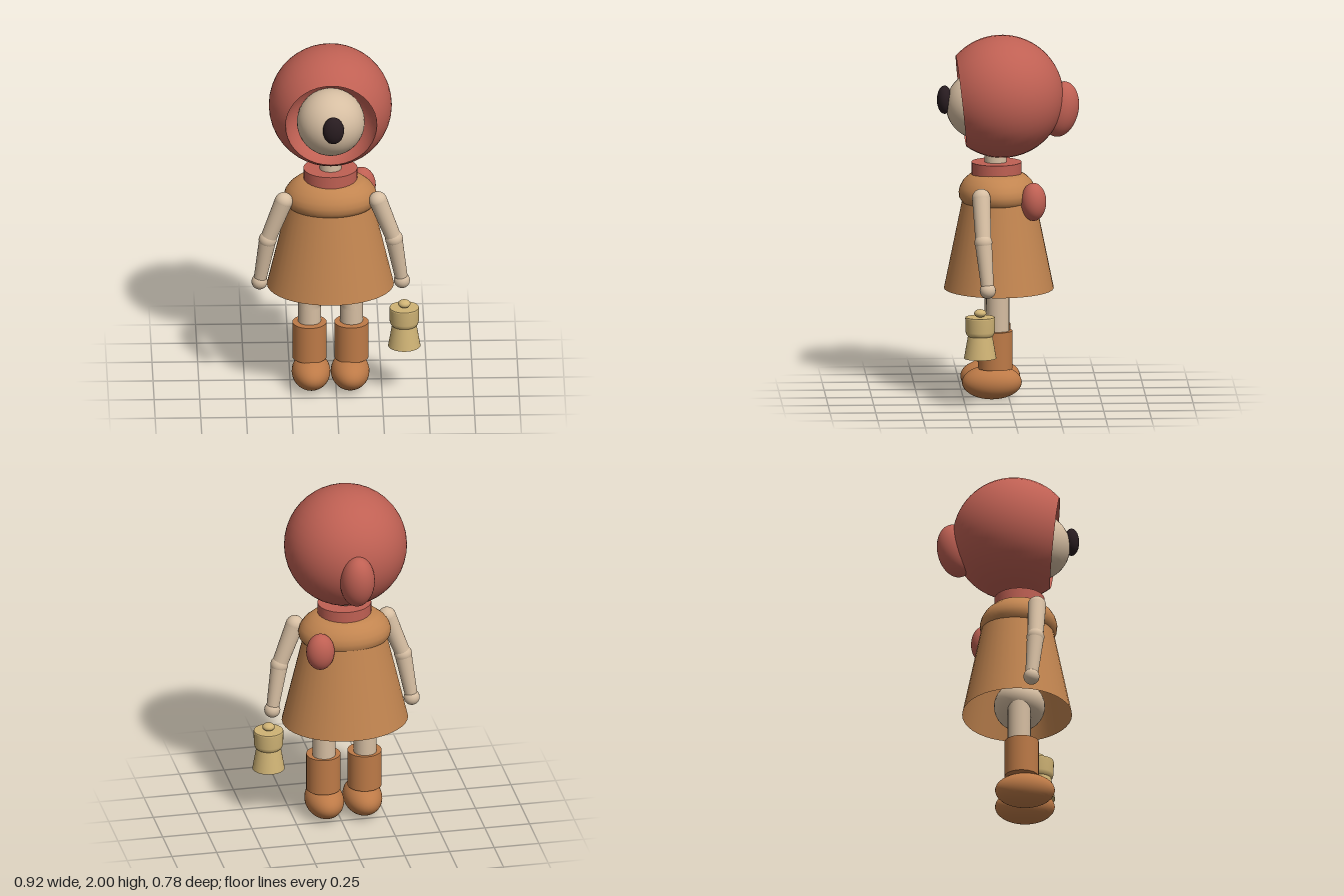
import * as THREE from 'three';

const mat = (name, color, side = THREE.FrontSide) => {
  const m = new THREE.MeshStandardMaterial({ color, side });
  m.name = name;
  return m;
};

export function createModel() {
  const red = mat('hood red', 0xbf6053);
  const tan = mat('dress tan', 0xc28550, THREE.DoubleSide);
  const leather = mat('boot brown', 0xbd7a47);
  const skin = mat('pale skin', 0xd6bea2);
  const dark = mat('pupil black', 0x281c20);
  const brass = mat('lantern brass', 0xcfb375);
  const CX = -0.03; // body centre line

  const model = new THREE.Group();
  model.name = 'hoodedFigure';
  const add = (name, geo, material, x, y, z, parent = model) => {
    const m = new THREE.Mesh(geo, material);
    m.name = name;
    m.position.set(x, y, z);
    parent.add(m);
    return m;
  };
  const ball = (name, material, x, y, z, rx, ry = rx, rz = rx) => {
    const m = add(name, new THREE.SphereGeometry(1, 32, 24), material, x, y, z);
    m.scale.set(rx, ry, rz);
    return m;
  };
  const lathe = (pts, seg = 40) =>
    new THREE.LatheGeometry(pts.map(([r, y]) => new THREE.Vector2(r, y)), seg);
  // Tapered limb segment between two points
  const limb = (name, a, b, ra, rb, material) => {
    const dir = b.clone().sub(a);
    const mid = a.clone().add(b).multiplyScalar(0.5);
    const m = add(name, new THREE.CylinderGeometry(rb, ra, dir.length(), 24), material, mid.x, mid.y, mid.z);
    m.quaternion.setFromUnitVectors(new THREE.Vector3(0, 1, 0), dir.normalize());
  };

  // Hood: a sphere with a slightly downturned round opening and a hollow inside
  const R = 0.337, rim = 0.25, rimY = Math.sqrt(R * R - rim * rim);
  const open = Math.atan2(rim, rimY);
  const shell = [], hollow = [];
  for (let i = 0; i <= 24; i++) {
    const a = Math.PI - (i / 24) * (Math.PI - open);
    shell.push([R * Math.sin(a), R * Math.cos(a)]);
  }
  for (let i = 0; i <= 12; i++) {
    const a = (i / 12) * Math.PI / 2;
    hollow.push([rim * Math.cos(a), rimY - 0.22 * Math.sin(a)]);
  }
  const hood = new THREE.Group();
  hood.name = 'hood';
  hood.position.set(CX, 1.663, 0.035);
  hood.rotation.x = 1.68;
  model.add(hood);
  add('hoodShell', lathe(shell), red, 0, 0, 0, hood);
  add('hoodHollow', lathe(hollow), red, 0, 0, 0, hood);
  ball('hoodTail', red, CX, 1.59, -0.285, 0.095, 0.155, 0.1).rotation.x = -0.2;

  // Face and single pupil
  ball('face', skin, CX, 1.615, 0.157, 0.186);
  ball('pupil', dark, -0.02, 1.648, 0.35, 0.058, 0.078, 0.042);

  // Neck and collar
  add('neck', new THREE.CylinderGeometry(0.06, 0.06, 0.22, 24), skin, CX, 1.27, 0.07);
  add('collar', new THREE.CylinderGeometry(0.148, 0.148, 0.1, 32), red, CX, 1.25, 0.065).scale.z = 0.93;

  // Flared dress, open at the hem
  add('dress', lathe([[0.348, 0.6], [0.225, 1.12]]), tan, CX, 0, 0.052).scale.z = 0.865;

  // Rounded shoulder cape
  add('cape', lathe([[0.2, 1.075], [0.235, 1.082], [0.252, 1.105], [0.256, 1.135], [0.247, 1.165],
    [0.225, 1.197], [0.19, 1.225], [0.148, 1.242], [0, 1.25]]), tan, CX, 0, 0.06).scale.z = 0.83;

  // Knot at the back of the cape
  ball('capeKnot', red, 0.145, 1.105, -0.13, 0.078, 0.105, 0.07);

  // Hips bridging the two legs
  ball('hips', skin, CX, 0.65, 0.065, 0.19, 0.12, 0.14);
  add('crotchArch', new THREE.TorusGeometry(0.115, 0.062, 16, 24, Math.PI), skin, CX, 0.465, 0.065);

  for (const s of [-1, 1]) {
    const side = s > 0 ? 'left' : 'right';

    // Leg, boot shaft and rounded shoe
    add(side + 'Leg', new THREE.CylinderGeometry(0.063, 0.063, 0.35, 24), skin, CX + s * 0.115, 0.505, 0.063);
    add(side + 'BootShaft', new THREE.CylinderGeometry(0.094, 0.094, 0.21, 32), leather, CX + s * 0.115, 0.277, 0.077);
    ball(side + 'Shoe', leather, CX + s * 0.107, 0.094, 0.095, 0.106, 0.094, 0.164);

    // Arm with round joints
    const shoulder = new THREE.Vector3(CX + s * 0.258, 1.143, 0.16);
    const elbow = new THREE.Vector3(CX + s * 0.346, 0.91, 0.152);
    const hand = new THREE.Vector3(CX + s * 0.39, 0.65, 0.13);
    ball(side + 'Shoulder', skin, ...shoulder.toArray(), 0.05);
    limb(side + 'UpperArm', shoulder, elbow, 0.05, 0.043, skin);
    ball(side + 'Elbow', skin, ...elbow.toArray(), 0.049);
    limb(side + 'Forearm', elbow, hand, 0.047, 0.034, skin);
    ball(side + 'Hand', skin, ...hand.toArray(), 0.044);
  }

  // Lantern: flared base, rounded drum and knob
  const lantern = new THREE.Group();
  lantern.name = 'lantern';
  lantern.position.set(0.372, 0, 0.172);
  model.add(lantern);
  add('lanternBase', new THREE.CylinderGeometry(0.067, 0.089, 0.125, 32), brass, 0, 0.34, 0, lantern);
  add('lanternDrum', lathe([[0.067, 0.4], [0.075, 0.408], [0.08, 0.425], [0.082, 0.5]], 32), brass, 0, 0, 0, lantern);
  add('lanternLid', new THREE.CylinderGeometry(0.08, 0.082, 0.006, 32), brass, 0, 0.503, 0, lantern);
  add('lanternKnob', new THREE.SphereGeometry(0.034, 24, 16), brass, 0, 0.527, 0, lantern).scale.y = 0.65;

  return model;
}
